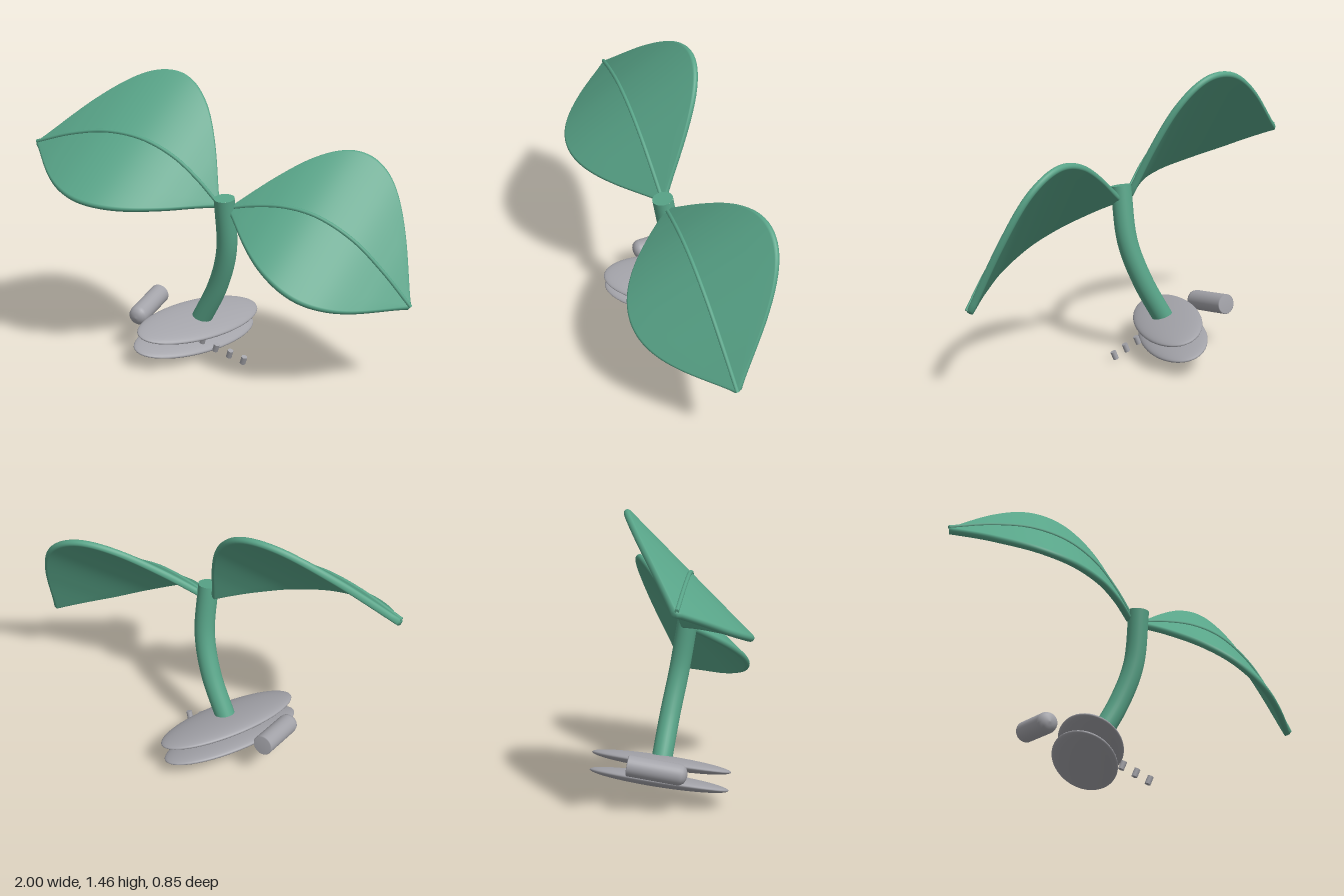
import * as THREE from 'three';

const V = (x, y, z) => new THREE.Vector3(x, y, z);
const UP = V(0, 1, 0);

// Blade of even thickness, with rounded rim, swept along the vein and widened along `across`
function bladeGeometry(curve, across, halfWidth, r) {
  const rows = 48, arc = 8, flat = 6;
  const section = []; // [share of half width, rim x, rim y]
  for (let k = 0; k <= arc; k++) {
    const a = -Math.PI / 2 + Math.PI * k / arc;
    section.push([1, Math.cos(a), Math.sin(a)]);
  }
  for (let k = 1; k < flat; k++) section.push([1 - 2 * k / flat, 0, 1]);
  for (let k = 0; k <= arc; k++) {
    const a = Math.PI / 2 + Math.PI * k / arc;
    section.push([-1, Math.cos(a), Math.sin(a)]);
  }
  for (let k = 1; k < flat; k++) section.push([-1 + 2 * k / flat, 0, -1]);

  const n = section.length, pos = [], idx = [], ends = [];
  for (let i = 0; i <= rows; i++) {
    const u = i / rows;
    const t = curve.getTangentAt(u);
    const normal = t.clone().cross(across).normalize();
    const centre = curve.getPointAt(u).addScaledVector(normal, -r);
    const w = halfWidth * Math.pow(Math.max(0, Math.sin(Math.PI * u)), 1.08);
    for (const [s, cx, cy] of section) {
      const p = centre.clone().addScaledVector(across, s * w + cx * r).addScaledVector(normal, cy * r);
      pos.push(p.x, p.y, p.z);
    }
    if (i === 0 || i === rows) ends.push(centre);
  }
  for (let i = 0; i < rows; i++) {
    for (let j = 0; j < n; j++) {
      const a = i * n + j, b = i * n + (j + 1) % n;
      idx.push(a, b, a + n, b, b + n, a + n);
    }
  }
  // Close both tips
  const first = pos.length / 3;
  for (const e of ends) pos.push(e.x, e.y, e.z);
  for (let j = 0; j < n; j++) {
    const k = (j + 1) % n;
    idx.push(first, k, j, first + 1, rows * n + j, rows * n + k);
  }
  const g = new THREE.BufferGeometry();
  g.setAttribute('position', new THREE.Float32BufferAttribute(pos, 3));
  g.setIndex(idx);
  g.computeVertexNormals();
  return g;
}

export function createModel() {
  const model = new THREE.Group();
  const green = new THREE.MeshStandardMaterial({ color: 0x58a488 });
  green.name = 'leafGreen';
  const grey = new THREE.MeshStandardMaterial({ color: 0xa3a3a9 });
  grey.name = 'stoneGrey';

  const add = (parent, name, geometry, material) => {
    const mesh = new THREE.Mesh(geometry, material);
    mesh.name = name;
    parent.add(mesh);
    return mesh;
  };
  // Solid round rod along a curve
  const addRod = (parent, name, curve, radius, sides) => {
    const rod = new THREE.Group();
    rod.name = name;
    add(rod, name + 'Side', new THREE.TubeGeometry(curve, 48, radius, sides), green);
    for (const u of [0, 1]) {
      const cap = add(rod, name + 'Cap', new THREE.CircleGeometry(radius, sides), green);
      cap.position.copy(curve.getPointAt(u));
      cap.quaternion.setFromUnitVectors(V(0, 0, 1), curve.getTangentAt(u).multiplyScalar(u ? 1 : -1));
    }
    parent.add(rod);
  };

  // Stem
  const stemCurve = new THREE.CatmullRomCurve3([
    V(-0.15, 0.18, -0.045), V(-0.03, 0.41, -0.01), V(0.035, 0.62, 0.03), V(0.042, 0.9, 0.076)]);
  addRod(model, 'stem', stemCurve, 0.052, 28);

  // Leaves: the veins lie in one plane that leans forward with the stem
  const veinPoint = ([x, y]) => V(x, y, 0.07 + (y - 0.88) * 0.184);
  const leaves = [
    { name: 'rightLeaf', across: V(-0.1, -0.285, 0.305),
      vein: [[0.01, 0.86], [-0.1, 0.99], [-0.22, 1.095], [-0.38, 1.17], [-0.57, 1.192], [-0.78, 1.16], [-1, 1.093]] },
    { name: 'leftLeaf', across: V(0.095, 0.275, -0.31),
      vein: [[0.06, 0.85], [0.2, 0.88], [0.36, 0.893], [0.52, 0.865], [0.7, 0.765], [0.85, 0.615], [0.985, 0.445]] },
  ];
  for (const { name, across, vein } of leaves) {
    const leaf = new THREE.Group();
    leaf.name = name;
    const curve = new THREE.CatmullRomCurve3(vein.map(veinPoint));
    add(leaf, 'blade', bladeGeometry(curve, across.clone().normalize(), 0.415, 0.017), green);
    addRod(leaf, 'vein', curve, 0.01, 10);
    model.add(leaf);
  }

  // Two stacked oval stones on a tilted base plane
  const baseNormal = V(0.238, 1, 0.108).normalize();
  const longAxis = V(0.41, 0, -0.91);
  longAxis.addScaledVector(baseNormal, -longAxis.dot(baseNormal)).normalize();
  const shortAxis = baseNormal.clone().cross(longAxis);
  const frame = new THREE.Matrix4().makeBasis(shortAxis, baseNormal, longAxis);
  for (const [name, x, y, z] of [['upperStone', -0.158, 0.186, -0.05], ['lowerStone', -0.185, 0.101, -0.06]]) {
    const stone = add(model, name, new THREE.SphereGeometry(1, 48, 24), grey);
    stone.scale.set(0.165, 0.034, 0.39);
    stone.quaternion.setFromRotationMatrix(frame);
    stone.position.set(x, y, z);
  }

  // Row of small pegs running out from between the stones
  for (let i = 0; i < 6; i++) {
    const peg = add(model, 'peg', new THREE.CylinderGeometry(0.015, 0.015, 0.042, 14), grey);
    peg.position.set(0.125 - i * 0.075, 0.032 + i * 0.024, 0.018 + i * 0.005);
    peg.quaternion.setFromUnitVectors(UP, V(0.35, 1, 0.18).normalize());
  }

  // Round log beside the stones, domed at the front
  const profile = [[0, -0.145], [0.048, -0.145], [0.052, -0.141], [0.052, 0.105],
    [0.048, 0.122], [0.037, 0.136], [0.02, 0.144], [0, 0.147]];
  const log = add(model, 'log', new THREE.LatheGeometry(profile.map(p => new THREE.Vector2(...p)), 32), grey);
  log.position.set(-0.447, 0.224, -0.035);
  log.quaternion.setFromUnitVectors(UP, V(0, -0.16, 1).normalize());

  return model;
}
